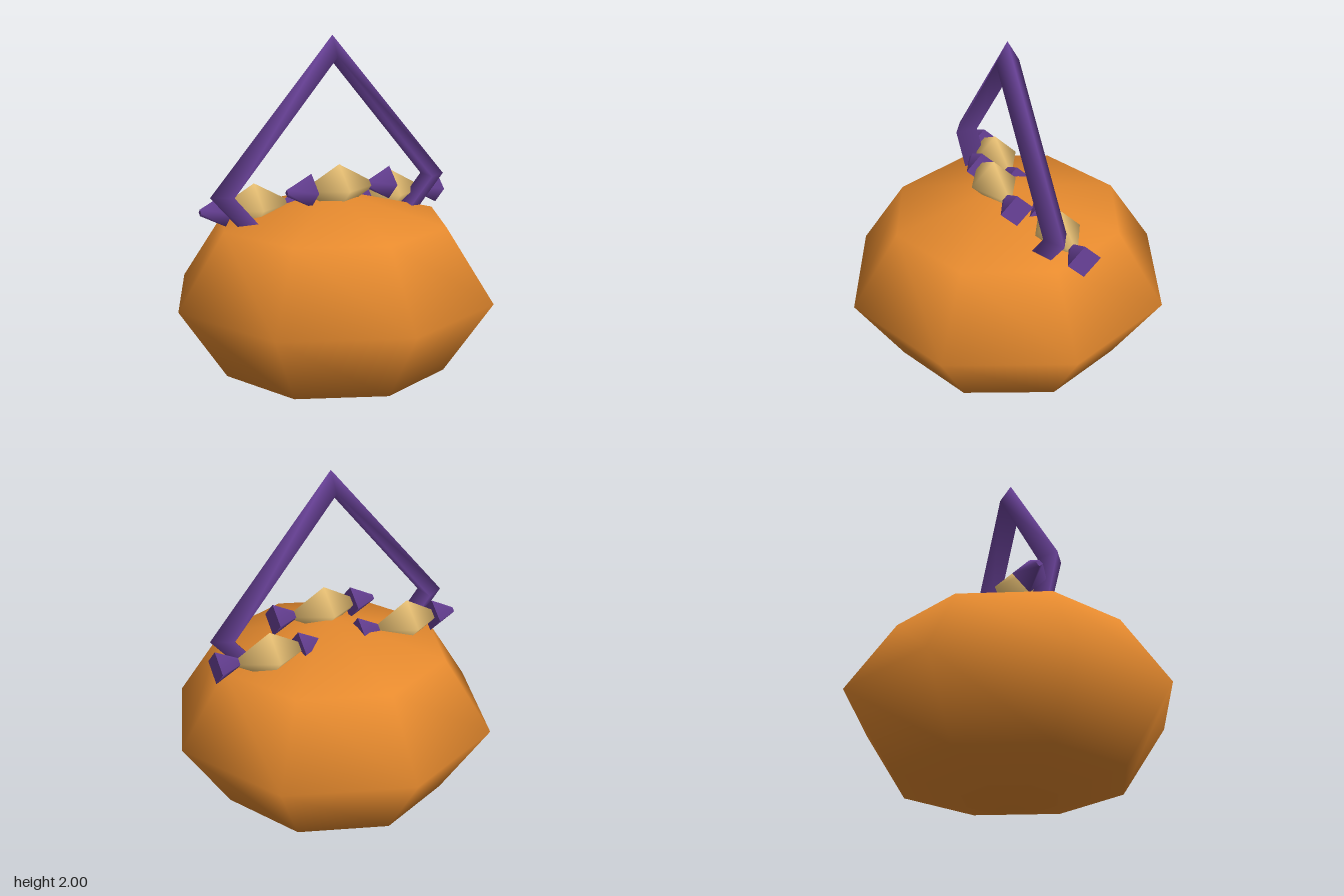
import * as THREE from 'three';

const mat = (color) => new THREE.MeshStandardMaterial({ color });

export function createModel() {
  const model = new THREE.Group();
  const orange = mat(0xe68a2e), purple = mat(0x6b439b), cream = mat(0xf2c879);

  const add = (parent, name, geometry, material) => {
    const mesh = new THREE.Mesh(geometry, material);
    mesh.name = name;
    parent.add(mesh);
    return mesh;
  };

  // Squashed eight-sided pumpkin body
  const body = new THREE.SphereGeometry(0.915, 8, 4);
  body.scale(1, 0.575 / 0.915, 1);
  add(model, 'pumpkinBody', body, orange).position.y = 0.58;

  // Diamond-shaped handle: a four-sided ring with a triangular section, stretched in height
  const ring = new THREE.TorusGeometry(0.645, 0.075, 3, 4);
  const p = ring.attributes.position;
  for (let i = 0; i < p.count; i++) {
    const y = p.getY(i);
    if (Math.abs(y) > 0.01) p.setY(i, y + Math.sign(y) * 0.1);
  }
  add(model, 'handle', ring, purple).position.y = 1.18;

  // Wrapped candies: a faceted sweet between two wrapper ends that flare the same way
  const sweet = new THREE.SphereGeometry(0.13, 4, 2);
  sweet.scale(0.235 / 0.13, 1, 1);
  const wrapper = new THREE.CylinderGeometry(0.018, 0.093, 0.147, 4);
  wrapper.rotateZ(Math.PI / 2);

  const spots = [[-0.425, 1.08, -0.105], [0, 1.18, 0.08], [0.425, 1.08, -0.105]];
  for (const spot of spots) {
    const candy = new THREE.Group();
    candy.name = 'candy';
    candy.position.set(...spot);
    add(candy, 'sweet', sweet, cream);
    for (const side of [-1, 1]) {
      add(candy, 'wrapperEnd', wrapper, purple).position.x = side * 0.241;
    }
    model.add(candy);
  }
  return model;
}
